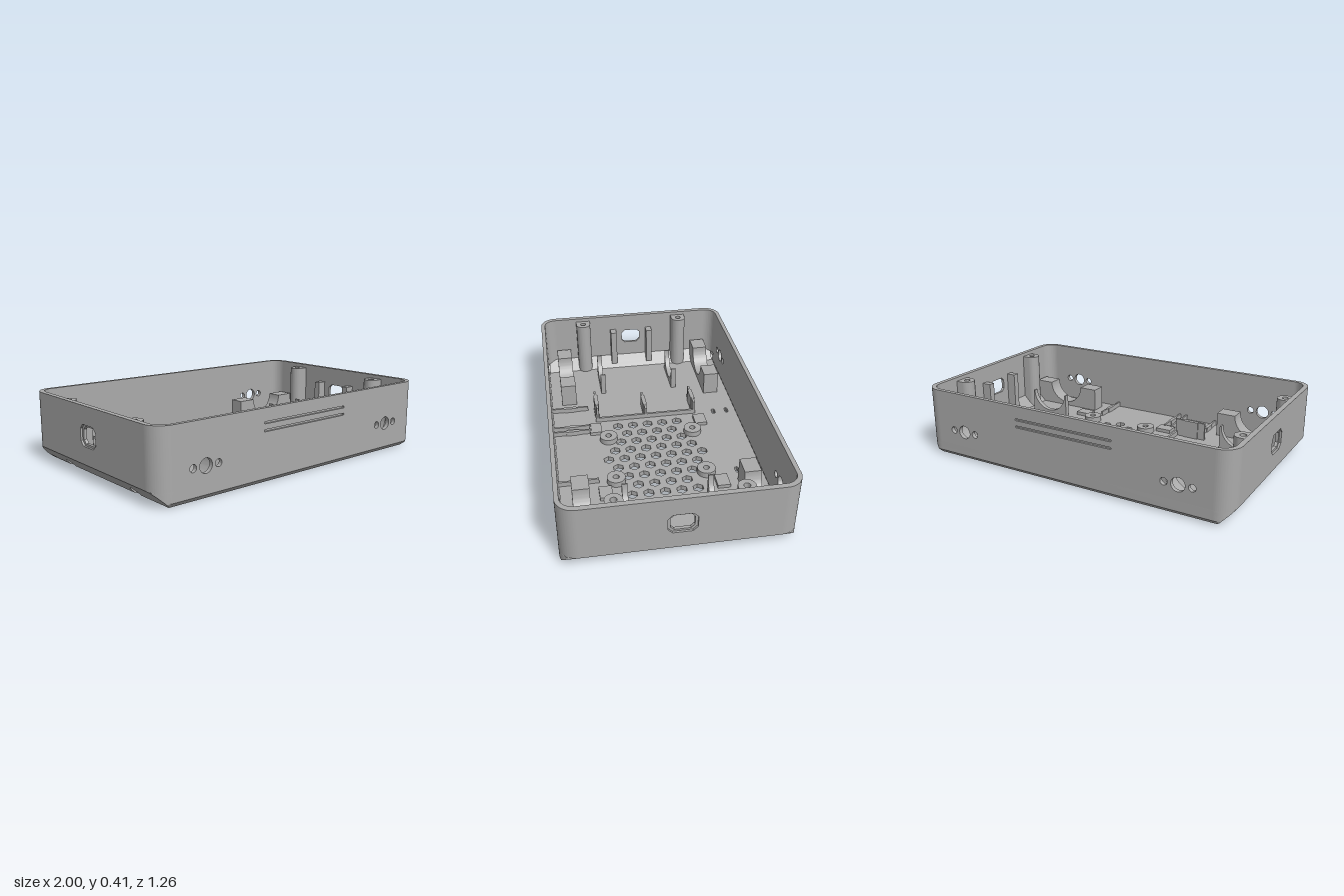
import * as THREE from 'three';
import { toCreasedNormals } from 'three/addons/utils/BufferGeometryUtils.js';

const H = 0.413, FLOOR = 0.03;            // case height, floor thickness
const HX = 0.915, HZ = 0.605;             // half size of the flat underside
const PX = 0.927, PZ = 0.34, BORE = 0.03; // corner screw positions

export function createModel() {
  const group = new THREE.Group();
  const grey = new THREE.MeshStandardMaterial({ color: 0xaaaaaa, side: THREE.DoubleSide });
  grey.name = 'caseGrey';

  const add = (name, geo) => {
    const mesh = new THREE.Mesh(geo, grey);
    mesh.name = name;
    group.add(mesh);
    return mesh;
  };
  const box = (name, x0, x1, y0, y1, z0, z1) =>
    add(name, new THREE.BoxGeometry(x1 - x0, y1 - y0, z1 - z0)
      .translate((x0 + x1) / 2, (y0 + y1) / 2, (z0 + z1) / 2));
  const extrude = (shape, depth) => toCreasedNormals(
    new THREE.ExtrudeGeometry(shape, { depth, bevelEnabled: false, curveSegments: 24 }), 0.5);
  // Shape drawn in (x, z), raised from y0 by h
  const plan = (shape, y0, h) => extrude(shape, h).rotateX(Math.PI / 2).translate(0, y0 + h, 0);
  // Shape drawn in (x, y), running from z0 by d
  const front = (shape, z0, d) => extrude(shape, d).translate(0, 0, z0);
  // Shape drawn in (z, y), running from x0 by d
  const side = (shape, x0, d) => extrude(shape, d).rotateY(-Math.PI / 2).translate(x0 + d, 0, 0);

  const poly = (pts) => new THREE.Shape(pts.map(([x, y]) => new THREE.Vector2(x, y)));
  const rect = (x0, x1, y0, y1) => poly([[x0, y0], [x1, y0], [x1, y1], [x0, y1]]);
  const circle = (x, y, r) => new THREE.Shape().absarc(x, y, r, 0, Math.PI * 2, false);
  const mirror = (shape, sx, sy = 1) => {
    const { shape: pts, holes } = shape.extractPoints(24);
    const flip = (list) => new THREE.Shape(list.map((p) => new THREE.Vector2(p.x * sx, p.y * sy)));
    const out = flip(pts);
    out.holes = holes.map(flip);
    return out;
  };
  const cutBox = (cx, cy, hw, hh, c) => poly([
    [cx - hw + c, cy - hh], [cx + hw - c, cy - hh], [cx + hw, cy - hh + c], [cx + hw, cy + hh - c],
    [cx + hw - c, cy + hh], [cx - hw + c, cy + hh], [cx - hw, cy + hh - c], [cx - hw, cy - hh + c]]);

  // Floor with screw bites, hexagon vents, slots and pockets
  const bite = Math.acos((HX - PX) / BORE);
  const floor = new THREE.Shape().moveTo(-HX, -HZ).lineTo(HX, -HZ);
  for (const z of [-PZ, PZ]) floor.absarc(PX, z, BORE, -bite, bite, true);
  floor.lineTo(HX, HZ).lineTo(-HX, HZ);
  for (const z of [PZ, -PZ]) floor.absarc(-PX, z, BORE, Math.PI - bite, bite - Math.PI, true);
  const counts = [7, 6, 5, 4, 5];
  for (let c = -4; c <= 4; c++) {
    const n = counts[Math.abs(c)];
    for (let i = 0; i < n; i++) {
      const cx = 0.168 + c * 0.084, cz = (i - (n - 1) / 2) * 0.097;
      floor.holes.push(poly([0, 1, 2, 3, 4, 5].map((k) =>
        [cx + 0.033 * Math.cos(k * Math.PI / 3), cz + 0.033 * Math.sin(k * Math.PI / 3)])));
    }
  }
  for (const x of [-0.24, 0.38])
    for (const z of [-0.545, -0.457]) floor.holes.push(cutBox(x, z, 0.025, 0.011, 0.006));
  for (const z of [-0.27, 0.27])
    for (const x of [-0.035, 0.373]) {
      floor.holes.push(circle(x, z, 0.018));
      const disc = circle(x, z, 0.055);
      disc.holes.push(circle(x, z, 0.018));
      add('boardStandoff', plan(disc, FLOOR, 0.035));
    }
  for (const z of [-0.342, 0.342])
    for (const x of [-0.145, 0.48]) {
      floor.holes.push(rect(x - 0.04, x + 0.04, z - 0.02, z + 0.02));
      box('footPad', x - 0.05, x + 0.05, FLOOR, 0.052, z - 0.038, z + 0.038);
    }
  add('floor', plan(floor, 0, FLOOR));

  // Lower skin of the long sides, clipped by both chamfers
  const levels = [0, 0.01, 0.0205, 0.027, 0.04, 0.055, 0.07, 0.08, 0.085];
  const arcStart = (y) => Math.acos(Math.min(1, (0.015 + y) / 0.1));
  const edgeZ = (y) => Math.min(0.532 + 0.1 * Math.sin(arcStart(y)), HZ + y);
  const N = 12;
  for (const s of [1, -1]) {
    const pos = [], index = [], row = 2 * N + 2;
    for (const y of levels) {
      const arc = [];
      for (let i = 0; i <= N; i++) {
        const a = arcStart(y) + (Math.PI / 2 - arcStart(y)) * i / N;
        arc.push([0.9 + 0.1 * Math.cos(a), Math.min(0.532 + 0.1 * Math.sin(a), HZ + y)]);
      }
      for (const [x, z] of arc) pos.push(x, y, s * z);
      for (const [x, z] of arc.reverse()) pos.push(-x, y, s * z);
    }
    for (let j = 0; j < levels.length - 1; j++)
      for (let i = 0; i < row - 1; i++) {
        const a = j * row + i, b = a + 1, c = a + row, d = c + 1;
        if (s > 0) index.push(a, b, c, b, d, c);
        else index.push(a, c, b, b, c, d);
      }
    const geo = new THREE.BufferGeometry();
    geo.setAttribute('position', new THREE.Float32BufferAttribute(pos, 3));
    geo.setIndex(index);
    add('lowerEdge', toCreasedNormals(geo, 0.4));
  }

  // Sloping ends, outside and inside: shapes in (z, rise) laid at 45 degrees
  const slope = (name, shape, s, x0, y0) => {
    const geo = new THREE.ShapeGeometry(mirror(shape, 1)), p = geo.attributes.position;
    for (let i = 0; i < p.count; i++) {
      const z = p.getX(i), v = p.getY(i);
      p.setXYZ(i, s * (x0 + v), y0 + v, -s * z);
    }
    if (s > 0 || s < 0) geo.computeVertexNormals();
    add(name, geo);
  };
  const outer = new THREE.Shape().moveTo(-HZ, 0);
  for (const z of [-PZ, PZ]) outer.absarc(z, 0.012, BORE, Math.PI + 0.4115, -0.4115, true);
  for (const y of levels) outer.lineTo(edgeZ(y), y);
  for (const y of [...levels].reverse().slice(0, -1)) outer.lineTo(-edgeZ(y), y);
  const inner = rect(-0.6, 0.6, 0, 0.07);
  for (const z of [-PZ, PZ]) inner.holes.push(circle(z, PX - 0.9, 0.026));

  // Wall openings
  const ports = () => [-1, 1].flatMap((s) => [circle(s * 0.705, 0.177, 0.04),
    circle(s * 0.705 - 0.08, 0.177, 0.021), circle(s * 0.705 + 0.08, 0.177, 0.021)]);
  const longOuter = rect(-0.9, 0.9, 0.027, H), longInner = rect(-0.9, 0.9, 0.027, H);
  longOuter.holes = [...ports(), ...[0.29, 0.333].map((y) => cutBox(0, y, 0.315, 0.006, 0.003))];
  longInner.holes = ports();
  const endOuter = rect(-0.532, 0.532, 0.085, H), endInner = rect(-0.532, 0.532, 0.085, H);
  endOuter.holes = [cutBox(0, 0.248, 0.079, 0.06, 0.026)];
  endInner.holes = [cutBox(0, 0.248, 0.064, 0.048, 0.02)];

  // Wall corner, screw post and cradle profiles for the +x +z quarter
  const corner = new THREE.Shape().absarc(0.9, 0.532, 0.1, 0, Math.PI / 2, false);
  corner.absellipse(0.9, 0.532, 0.07, 0.075, Math.PI / 2, 0, true);
  const post = new THREE.Shape().moveTo(0.972, PZ - 0.048).lineTo(0.972, PZ + 0.048);
  post.absarc(PX, PZ, 0.048, Math.PI / 2, Math.PI * 1.5, false);
  post.holes.push(circle(PX, PZ, 0.018));
  const postFoot = new THREE.Shape().absarc(PX, PZ, 0.048, Math.PI / 2, Math.PI * 1.5, false);
  postFoot.absarc(PX, PZ, BORE, Math.PI * 1.5, Math.PI / 2, true);
  const cradle = new THREE.Shape().moveTo(0.465, FLOOR).lineTo(0.9, FLOOR).lineTo(0.955, 0.085)
    .lineTo(0.955, 0.18).absarc(0.71, 0.18, 0.125, 0, Math.PI, true).lineTo(0.465, 0.18);
  const rib = new THREE.Shape().moveTo(0.57, FLOOR).lineTo(0.84, FLOOR).lineTo(0.84, 0.18)
    .absarc(0.705, 0.18, 0.125, 0, Math.PI, true).lineTo(0.57, 0.18);

  for (const s of [1, -1]) {
    add('longWall', front(longOuter, s > 0 ? 0.62 : -0.632, 0.012));
    add('longWallLining', front(longInner, s > 0 ? 0.607 : -0.62, 0.013));
    add('endWall', side(endOuter, s > 0 ? 0.988 : -1, 0.012));
    add('endWallLining', side(endInner, s > 0 ? 0.97 : -0.988, 0.018));
    slope('endChamfer', outer, s, HX, 0);
    slope('innerSlope', inner, s, 0.9, FLOOR);
    for (const t of [1, -1]) {
      add('wallCorner', plan(mirror(corner, s, t), 0.085, H - 0.085));
      add('screwPost', plan(mirror(post, s, t), 0.06, 0.33));
      add('screwPostFoot', plan(mirror(postFoot, s, t), FLOOR, 0.03));
      add('cradle', front(mirror(cradle, s), t * 0.488 - 0.049, 0.098));
      add('cradleRib', front(mirror(rib, s), t * 0.245 - 0.016, 0.032));
      box('panelRail', s * 0.94 - 0.03, s * 0.94 + 0.03, 0.06, 0.31, t * 0.127 - 0.02, t * 0.127 + 0.02);
      // Screw bore, trimmed to the sloping end
      const bore = new THREE.CylinderGeometry(BORE, BORE, 0.06, 32, 1, true).translate(s * PX, 0.03, t * PZ);
      const p = bore.attributes.position;
      for (let i = 0; i < p.count; i++)
        if (p.getY(i) < 0.03) p.setY(i, Math.max(0, Math.abs(p.getX(i)) - HX));
      add('screwBore', bore);
    }
  }

  // Board fence with three arms, and low guide ribs by the front wall
  box('fence', -0.25, -0.236, FLOOR, 0.06, -0.33, 0.33);
  for (const [z, y] of [[-0.322, 0.12], [0, 0.105], [0.317, 0.14]]) {
    box('fenceArm', -0.435, -0.236, FLOOR, y, z - 0.007, z + 0.007);
    box('fenceArmPad', -0.39, -0.29, FLOOR, y, z - 0.013, z + 0.013);
  }
  for (const x of [-0.385, -0.172, -0.125, 0.365]) {
    box('guideRib', x - 0.006, x + 0.006, FLOOR, 0.06, 0.37, 0.61);
    box('guideRibPad', x - 0.011, x + 0.011, FLOOR, 0.06, 0.45, 0.53);
  }
  return group;
}
